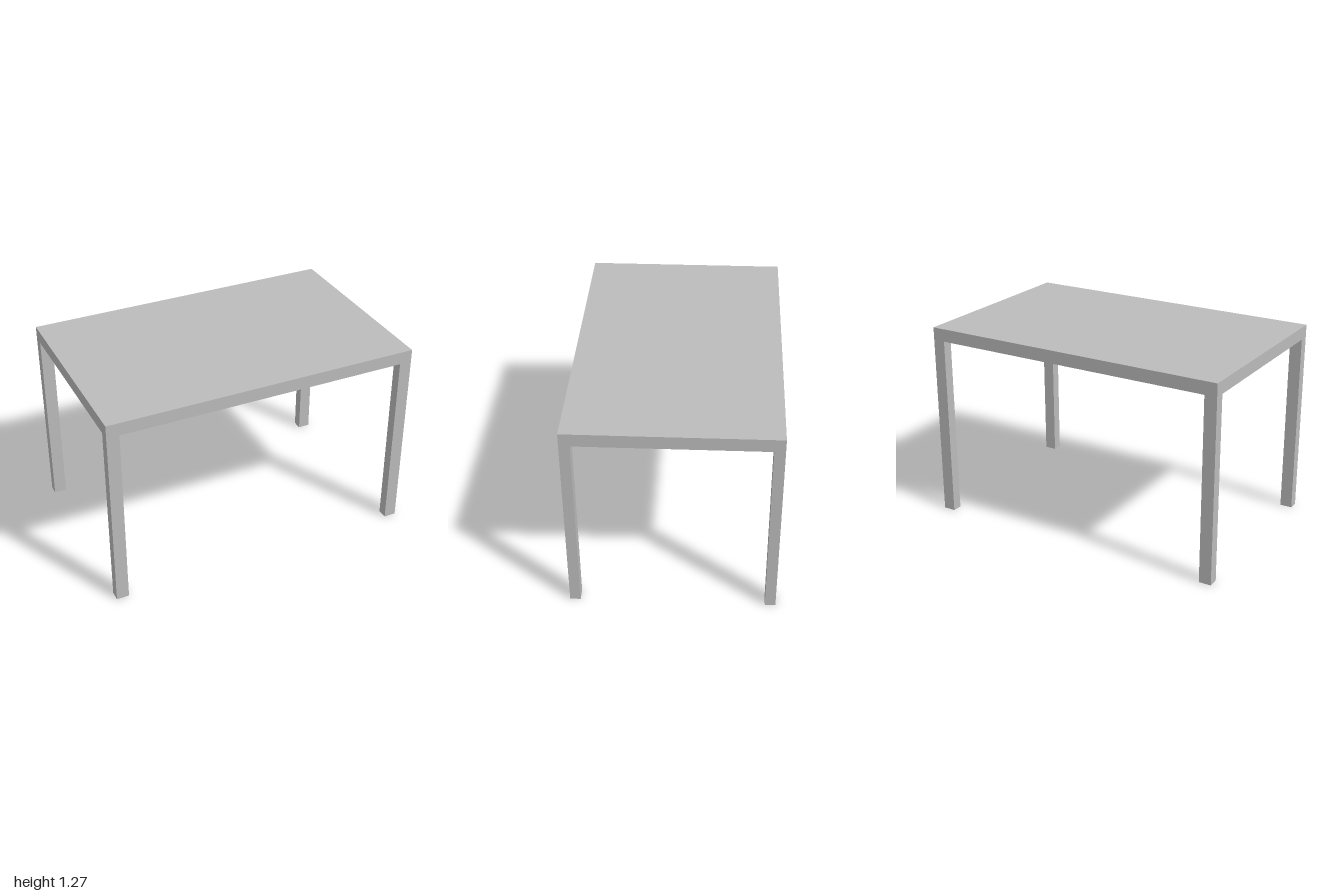
import * as THREE from 'three';

const W = 2, H = 1.267, D = 1.267;      // overall size
const TOP = 0.082;                      // tabletop thickness
const LEG_X = 0.079, LEG_Z = 0.065;     // leg section

export function createModel() {
  const table = new THREE.Group();
  table.name = 'table';
  const grey = new THREE.MeshStandardMaterial({ color: 0xbbbbbb });
  grey.name = 'light grey';

  const addBox = (name, w, h, d, x, y, z) => {
    const mesh = new THREE.Mesh(new THREE.BoxGeometry(w, h, d), grey);
    mesh.name = name;
    mesh.position.set(x, y, z);
    table.add(mesh);
  };

  // Solid slab top
  addBox('tabletop', W, TOP, D, 0, H - TOP / 2, 0);

  // Four legs flush with the corners
  const legH = H - TOP;
  for (const [endName, sz] of [['front', 1], ['back', -1]]) {
    for (const [sideName, sx] of [['Left', 1], ['Right', -1]]) {
      addBox(`${endName}${sideName}Leg`, LEG_X, legH, LEG_Z,
        sx * (W - LEG_X) / 2, legH / 2, sz * (D - LEG_Z) / 2);
    }
  }
  return table;
}
